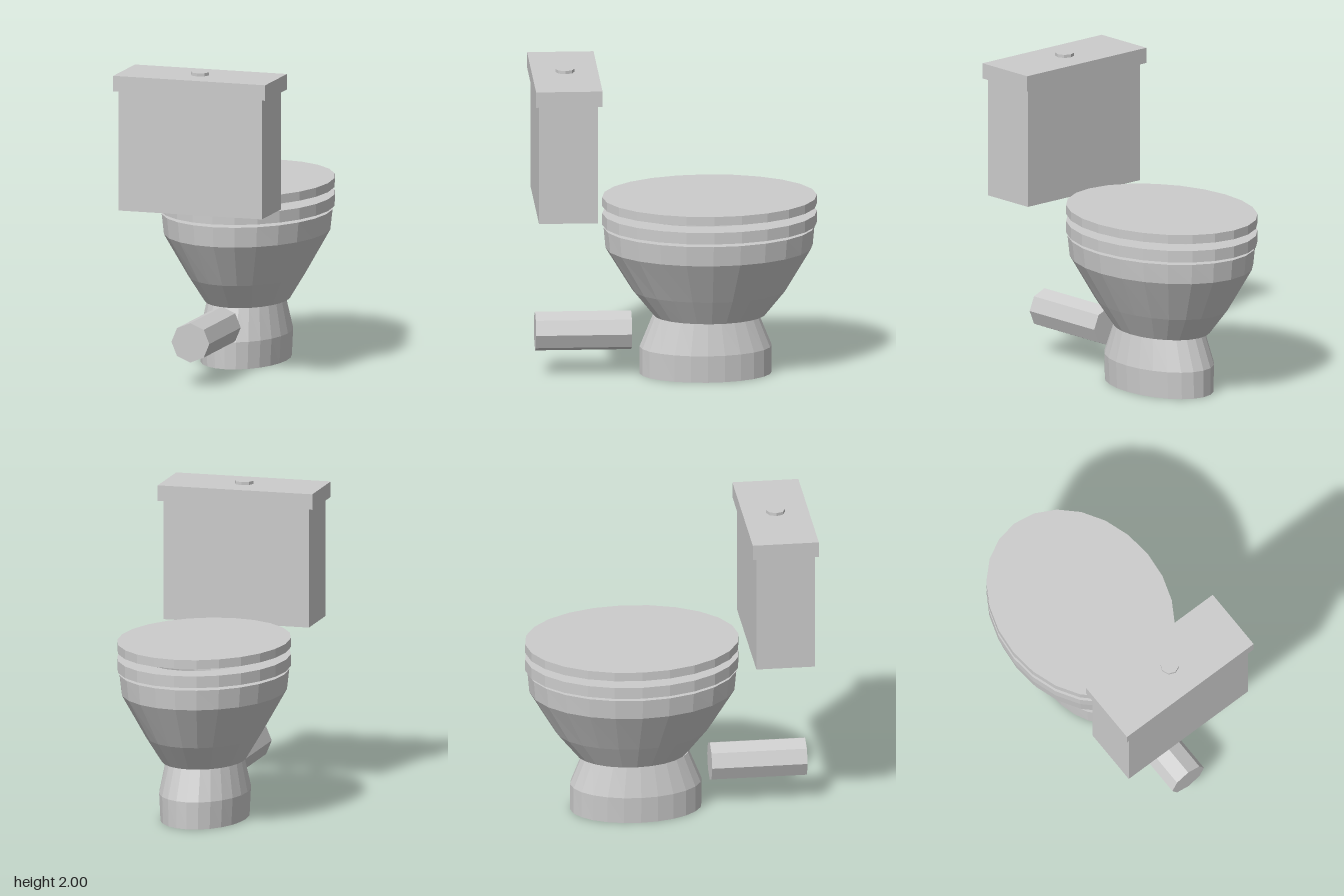
import * as THREE from 'three';

const material = new THREE.MeshStandardMaterial({ color: 0xcccccc, flatShading: true });
const SIDES = 24;

// Lofts a closed body through elliptical rings [y, rx, rz, centreZ], bottom to top.
function loft(rings) {
  const geo = new THREE.LatheGeometry(rings.map((r, i) => new THREE.Vector2(1, i)), SIDES);
  const pos = geo.attributes.position;
  for (let i = 0; i < pos.count; i++) {
    const [y, rx, rz, cz] = rings[Math.round(pos.getY(i))];
    pos.setXYZ(i, pos.getX(i) * rx, y, pos.getZ(i) * rz + cz);
  }
  geo.computeVertexNormals();
  return geo;
}

export function createModel() {
  const group = new THREE.Group();
  const add = (name, geo, x = 0, y = 0, z = 0) => {
    const mesh = new THREE.Mesh(geo, material);
    mesh.name = name;
    mesh.position.set(x, y, z);
    group.add(mesh);
    return mesh;
  };
  const box = (name, w, y0, y1, z0, z1) =>
    add(name, new THREE.BoxGeometry(w, y1 - y0, z1 - z0), 0, (y0 + y1) / 2, (z0 + z1) / 2);

  // Pedestal foot
  add('base', loft([
    [0, 0, 0, -0.2], [0, 0.27, 0.42, -0.2], [0.175, 0.28, 0.42, -0.2],
    [0.38, 0.24, 0.337, -0.2], [0.38, 0, 0, -0.2],
  ]));

  // Bowl with a hollow inside
  add('bowl', loft([
    [0.38, 0, 0, -0.225], [0.38, 0.26, 0.355, -0.225], [0.546, 0.358, 0.49, -0.225],
    [0.825, 0.515, 0.658, -0.222], [0.955, 0.53, 0.67, -0.222],
    [0.955, 0.4, 0.53, -0.222], [0.8, 0.37, 0.5, -0.222],
    [0.55, 0.2, 0.3, -0.222], [0.5, 0, 0, -0.222],
  ]));

  // Seat ring
  const inner = [0.38, 0.51, -0.225], outer = [0.54, 0.682, -0.225];
  add('seat', loft([
    [0.975, ...inner], [0.975, ...outer], [1.05, ...outer], [1.05, ...inner], [0.975, ...inner],
  ]));

  // Closed lid
  add('lid', loft([
    [1.097, 0, 0, -0.225], [1.097, ...outer], [1.155, ...outer], [1.155, 0, 0, -0.225],
  ]));

  // Cistern, its cover and the flush button
  box('tank', 0.96, 1.11, 1.88, 0.51, 0.885);
  box('tankCover', 1.02, 1.88, 1.98, 0.483, 0.905);
  add('flushButton', new THREE.CylinderGeometry(0.06, 0.06, 0.02, 8), 0, 1.99, 0.693);

  // Octagonal waste pipe running back from the pedestal
  add('wastePipe', new THREE.CylinderGeometry(0.127, 0.127, 0.61, 8).rotateX(Math.PI / 2), 0, 0.285, 0.578);

  return group;
}
